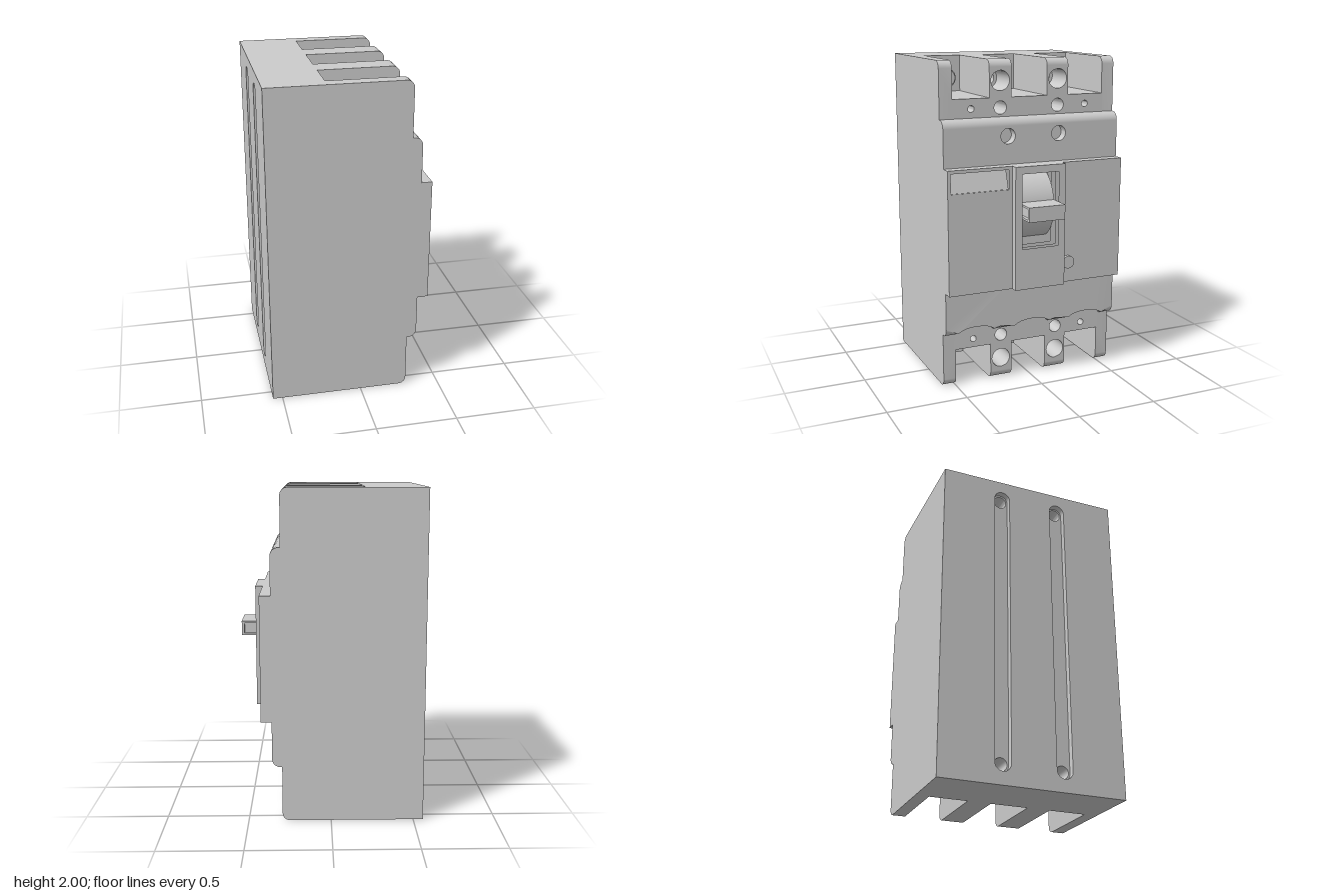
import * as THREE from 'three';
import { toCreasedNormals } from 'three/addons/utils/BufferGeometryUtils.js';

const POLES = [-0.377, 0, 0.377];
const SLOT = 0.117; // half width of a terminal slot
const MOUNT = 0.19; // z of the mounting holes

export function createModel() {
  const model = new THREE.Group();
  const grey = new THREE.MeshStandardMaterial({ color: 0xcccccc });

  const add = (name, geometry) => {
    const mesh = new THREE.Mesh(geometry, grey);
    mesh.name = name;
    model.add(mesh);
    return mesh;
  };

  // Hole paths, given in (z, y); the shape plane is (-z, y)
  const round = (z, y, r) => new THREE.Path().absarc(-z, y, r, 0, Math.PI * 2);
  const poly = (pts) => new THREE.Path(pts.map(([z, y]) => new THREE.Vector2(-z, y)));
  const rect = (z0, z1, y0, y1) => [[z0, y0], [z1, y0], [z1, y1], [z0, y1]];
  const groove = (z, y0, y1, r) => new THREE.Path()
    .absarc(-z, y1, r, 0, Math.PI).absarc(-z, y0, r, Math.PI, Math.PI * 2);

  // Layer facing +x from x0 to x1; a fillet rounds its front top and bottom edges
  function layer(name, outline, holes, x0, x1, fillet = 0) {
    const shape = new THREE.Shape(outline.map(([z, y]) => new THREE.Vector2(-z, y)));
    shape.holes.push(...holes);
    const depth = x1 - x0;
    const steps = fillet ? 8 : 1;
    let g = new THREE.ExtrudeGeometry(shape, { depth, steps, bevelEnabled: false, curveSegments: 16 });
    if (fillet) {
      const ys = outline.map((p) => p[1]);
      const lo = Math.min(...ys), hi = Math.max(...ys);
      const p = g.attributes.position;
      for (let i = 0; i < p.count; i++) {
        const k = Math.round((p.getZ(i) / depth) * steps);
        if (k === 0) continue;
        const a = ((k - 1) / (steps - 1)) * Math.PI / 2;
        p.setZ(i, depth - fillet + fillet * Math.sin(a));
        const drop = fillet * (1 - Math.cos(a));
        if (Math.abs(p.getY(i) - hi) < 1e-4) p.setY(i, hi - drop);
        else if (Math.abs(p.getY(i) - lo) < 1e-4) p.setY(i, lo + drop);
      }
    }
    g.rotateY(Math.PI / 2);
    g.translate(x0, 0, 0);
    g = toCreasedNormals(g, 0.6);
    return add(name, g);
  }

  const mountHoles = (r) => [-MOUNT, MOUNT].flatMap((z) => [round(z, 1.875, r), round(z, 0.13, r)]);
  const full = rect(-0.575, 0.575, 0, 2);

  // Outline with three terminal slots at the top and bottom
  const comb = [[-0.575, 0]];
  for (const z of POLES) comb.push([z - SLOT, 0], [z - SLOT, 0.23], [z + SLOT, 0.23], [z + SLOT, 0]);
  comb.push([0.575, 0], [0.575, 2]);
  for (const z of [...POLES].reverse()) {
    comb.push([z + SLOT, 2], [z + SLOT, 1.775], [z - SLOT, 1.775], [z - SLOT, 2]);
  }
  comb.push([-0.575, 2]);

  // Housing, back to front
  layer('backGrooves', full, [-MOUNT, MOUNT].map((z) => groove(z, 0.13, 1.875, 0.05)), -0.56, -0.52);
  layer('backBlock', full, mountHoles(0.04), -0.52, -0.2);
  layer('terminalBlock', comb, mountHoles(0.04), -0.2, 0.1);
  const screwHoles = [0.285, 1.715].flatMap((y) => [
    ...[-MOUNT, MOUNT].map((z) => round(z, y, 0.04)),
    ...[-0.377, 0.377].map((z) => round(z, y, 0.02)),
  ]);
  layer('frontBlock', comb, [...mountHoles(0.06), ...screwHoles], 0.1, 0.295, 0.045);

  // Raised cover with shallow vents along its lower edge
  const cover = [[-0.575, 0.34]];
  for (const z of POLES) {
    for (let i = 0; i <= 10; i++) {
      const a = Math.PI * (1 - i / 10);
      cover.push([z + 0.125 * Math.cos(a), 0.34 + 0.045 * Math.sin(a)]);
    }
  }
  cover.push([0.575, 0.34], [0.575, 1.66], [-0.575, 1.66]);
  const windowHole = () => poly(rect(-0.12, 0.12, 0.875, 1.335));
  layer('cover', cover, [windowHole(), round(0.165, 1.55, 0.047), round(-0.17, 1.55, 0.047)],
    0.295, 0.355, 0.05);

  // Front panel with a label pocket on one side, then the switch plate
  layer('frontPanel', rect(-0.575, 0.575, 0.62, 1.38),
    [windowHole(), poly(rect(0.19, 0.555, 1.24, 1.36))], 0.355, 0.42);
  layer('switchPlate', rect(-0.165, 0.165, 0.62, 1.38), [windowHole()], 0.42, 0.465);

  // Sloping floor of the label pocket
  const wedge = new THREE.Shape([[0.355, 1.24], [0.415, 1.24], [0.375, 1.36], [0.355, 1.36]]
    .map(([x, y]) => new THREE.Vector2(x, y)));
  add('pocketFloor', new THREE.ExtrudeGeometry(wedge, { depth: 0.365, bevelEnabled: false }))
    .position.z = 0.19;

  // Curved switch drum behind the window
  const drum = new THREE.CylinderGeometry(0.23, 0.23, 0.236, 48);
  drum.rotateX(Math.PI / 2);
  add('switchDrum', drum).position.set(0.18, 1.105, 0);

  // Handle with hollowed ends
  const frame = new THREE.Shape([[0.38, 1.06], [0.557, 1.06], [0.557, 1.15], [0.38, 1.15]]
    .map(([x, y]) => new THREE.Vector2(x, y)));
  frame.holes.push(new THREE.Path([[0.4, 1.073], [0.54, 1.073], [0.54, 1.137], [0.4, 1.137]]
    .map(([x, y]) => new THREE.Vector2(x, y))));
  add('handleShell', new THREE.ExtrudeGeometry(frame, { depth: 0.236, bevelEnabled: false }))
    .position.z = -0.118;
  add('handleCore', new THREE.BoxGeometry(0.15, 0.07, 0.19)).position.set(0.47, 1.105, 0);

  // Test button beside the switch plate
  const button = new THREE.CylinderGeometry(0.04, 0.04, 0.04, 32);
  button.rotateZ(-Math.PI / 2);
  add('testButton', button).position.set(0.42, 0.75, -0.207);

  // Terminal screws at the back of each slot
  const ring = [[0.025, 0], [0.06, 0], [0.06, 0.082], [0.052, 0.09], [0.025, 0.09], [0.025, 0]];
  const terminal = toCreasedNormals(
    new THREE.LatheGeometry(ring.map(([r, h]) => new THREE.Vector2(r, h)), 32), 0.6);
  terminal.rotateZ(-Math.PI / 2);
  for (const z of POLES) {
    for (const y of [0.115, 1.865]) add('terminalScrew', terminal).position.set(-0.2, y, z);
  }

  return model;
}
